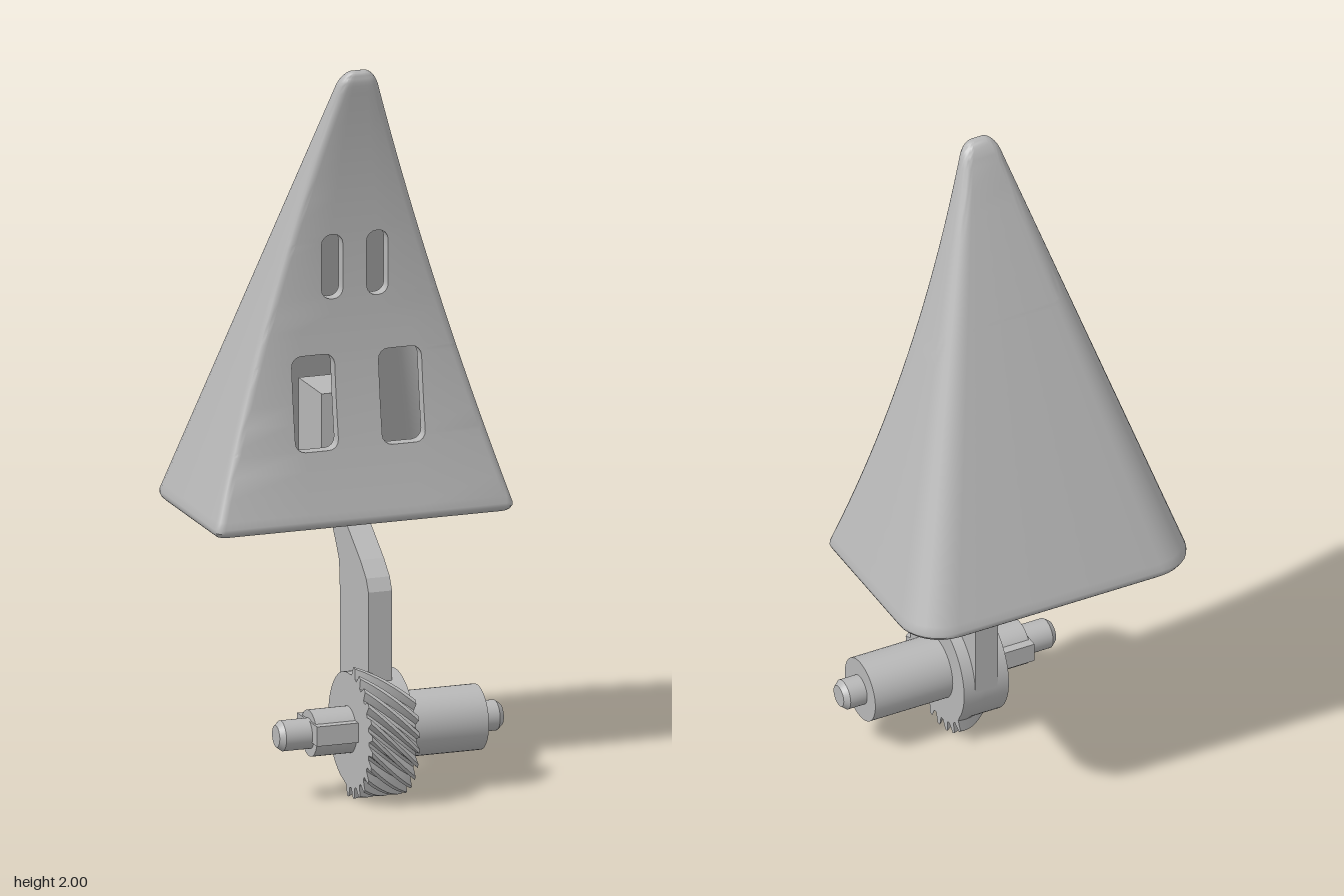
import * as THREE from 'three';
import { toCreasedNormals } from 'three/addons/utils/BufferGeometryUtils.js';

const grey = new THREE.MeshStandardMaterial({ color: 0xb8b8b8 });
grey.name = 'plain grey';

const CENTRE = -0.008;                 // sideways centre of the tower and arm
const AXLE_Y = 0.19, AXLE_Z = 0.28;    // axle position
const WALL = 0.035;
const WINDOWS = [
  { y0: 0.95, y1: 1.21, mid: 0.125, half: 0.062, r: 0.028 },
  { y0: 1.36, y1: 1.54, mid: 0.065, half: 0.031, r: 0.028 },
];

function add(group, name, geometry) {
  const mesh = new THREE.Mesh(geometry, grey);
  mesh.name = name;
  group.add(mesh);
  return mesh;
}

// Outline of the tower at height y, shrunk by inset
function section(y, inset) {
  const t = Math.max(0, (y - 0.76) / 1.24);
  let w = 0.43 - 0.385 * t - inset;
  let front = 0.235 - 0.315 * t + 0.275 * t * t - inset;
  let back = -0.315 + 0.465 * t + inset;
  if (y < 0.765) {                                  // rounded lower rim
    const s = (0.765 - y) / 0.025, e = 0.02 * (1 - Math.sqrt(Math.max(0, 1 - s * s)));
    w -= e; front -= e; back += e;
  }
  if (y > 1.96) {                                   // rounded tip
    const s = (y - 1.96) / 0.04, k = 1 - Math.sqrt(Math.max(0, 1 - s * s));
    const d = (front - back) * 0.4 * k;
    w *= 1 - 0.6 * k; front -= d; back += d;
  }
  const limit = 0.48 * Math.min(front - back, w * 2);
  const rf = Math.min(limit, Math.max(0.005, 0.024 - inset * 0.5));
  const rb = Math.min(limit, Math.max(0.005, 0.02 + 0.1 * (1 - t) - inset));

  // Break points of the front face line up with the window edges
  const win = WINDOWS[y < 1.285 ? 0 : 1];
  const yc = THREE.MathUtils.clamp(y, win.y0, win.y1);
  const d = Math.max(0, win.r - Math.min(yc - win.y0, win.y1 - yc));
  const half = win.half - win.r + Math.sqrt(Math.max(0, win.r * win.r - d * d));
  const k = y > 1.54 ? (0.43 - 0.385 * t) / 0.188 * Math.min(1, w / (0.43 - 0.385 * t)) : 1;
  const inner = (win.mid - half) * k, outer = (win.mid + half) * k;
  const pts = [-(w - rf), -outer, -inner, inner, outer, w - rf].map((x) => [x, front]);

  const corner = (cx, cz, r, from, n, i0, i1) => {
    for (let i = i0; i <= i1; i++) {
      const a = from - (i / n) * Math.PI / 2;
      pts.push([cx + r * Math.cos(a), cz + r * Math.sin(a)]);
    }
  };
  corner(w - rf, front - rf, rf, Math.PI / 2, 4, 1, 4);
  corner(w - rb, back + rb, rb, 0, 8, 0, 8);
  corner(-w + rb, back + rb, rb, -Math.PI / 2, 8, 0, 8);
  corner(-w + rf, front - rf, rf, Math.PI, 4, 0, 3);
  return pts;
}

// Hollow tower with window openings through the front
function towerGeometry() {
  const rows = [0.74, 0.742, 0.748, 0.756, 0.765, 0.785, 0.84, 0.9];
  const windowRows = ({ y0, y1, r }) => {
    const ends = [0, 1, 2, 3, 4].map((k) => r * (1 - Math.cos(k * Math.PI / 8)));
    ends.forEach((e) => rows.push(y0 + e));
    [0.3, 0.5, 0.7].forEach((f) => rows.push(y0 + (y1 - y0) * f));
    ends.reverse().forEach((e) => rows.push(y1 - e));
  };
  windowRows(WINDOWS[0]);
  rows.push(1.25, 1.28, 1.32);
  windowRows(WINDOWS[1]);
  for (let y = 1.58; y < 1.95; y += 0.06) rows.push(y);
  rows.push(1.96);
  for (let k = 1; k <= 6; k++) rows.push(1.96 + 0.04 * Math.sin(k * Math.PI / 12));

  const pos = [], index = [];
  const quad = (a, b, c, d) => index.push(a, b, c, a, c, d);
  const putRing = (y, inset) => {
    const start = pos.length / 3;
    section(y, inset).forEach(([x, z]) => pos.push(x + CENTRE, y, z));
    return start;
  };
  const N = section(1, 0).length;
  const outer = rows.map((y) => putRing(y, 0));
  const inner = rows.map((y) => (y > 0.77 && y < 1.73 ? putRing(y, WALL) : -1));
  const windowAt = (j) => WINDOWS.find((w) => rows[j] > w.y0 - 1e-6 && rows[j + 1] < w.y1 + 1e-6);

  for (let j = 0; j < rows.length - 1; j++) {
    const win = windowAt(j), o = outer[j], p = outer[j + 1], q = inner[j], s = inner[j + 1];
    for (let i = 0; i < N; i++) {
      const n = (i + 1) % N;
      if (win && (i === 1 || i === 3)) {            // window reveals
        quad(o + i, q + i, s + i, p + i);
        quad(o + n, p + n, s + n, q + n);
        if (rows[j] < win.y0 + 1e-6) quad(o + i, o + n, q + n, q + i);
        if (rows[j + 1] > win.y1 - 1e-6) quad(p + i, s + i, s + n, p + n);
        continue;
      }
      quad(o + i, o + n, p + n, p + i);
      if (q >= 0 && s >= 0) quad(q + i, s + i, s + n, q + n);
    }
  }
  // Flat ends of the outer skin and of the cavity
  const cap = (start, up) => {
    for (let i = 1; i < N - 1; i++) {
      if (up) index.push(start, start + i, start + i + 1);
      else index.push(start, start + i + 1, start + i);
    }
  };
  const used = inner.filter((s) => s >= 0);
  cap(outer[0], false);
  cap(outer[outer.length - 1], true);
  cap(used[0], true);
  cap(used[used.length - 1], false);

  const g = new THREE.BufferGeometry();
  g.setAttribute('position', new THREE.Float32BufferAttribute(pos, 3));
  g.setIndex(index);
  return toCreasedNormals(g, 0.6);
}

// Side profile given as [z, y], extruded from x0 to x1
function sideExtrude(profile, x0, x1, steps = 1) {
  const shape = new THREE.Shape(profile.map(([z, y]) => new THREE.Vector2(-z, y)));
  const g = new THREE.ExtrudeGeometry(shape, { depth: x1 - x0, steps, bevelEnabled: false });
  return g.rotateY(Math.PI / 2).translate(x0, 0, 0);
}

// Round hub with helical teeth on its front and underside
function gearGeometry(x0, x1) {
  const profile = [], rad = Math.PI / 180;
  const put = (deg, r) => profile.push([AXLE_Z + r * Math.cos(deg * rad), AXLE_Y + r * Math.sin(deg * rad)]);
  const teeth = 13, start = -118, pitch = 14;
  for (let i = 0; i < teeth; i++) {
    [[0, 0.16], [0.22, 0.188], [0.5, 0.188], [0.72, 0.16]].forEach(([f, r]) => put(start + (i + f) * pitch, r));
  }
  const end = start + teeth * pitch;
  for (let i = 0; i < 28; i++) put(end + (i / 28) * (360 - teeth * pitch), 0.157);
  const g = sideExtrude(profile, x0, x1, 8);
  const p = g.attributes.position;
  for (let i = 0; i < p.count; i++) {
    const a = -0.75 * ((p.getX(i) - x0) / (x1 - x0) - 0.5);
    const y = p.getY(i) - AXLE_Y, z = p.getZ(i) - AXLE_Z;
    p.setY(i, AXLE_Y + y * Math.cos(a) + z * Math.sin(a));
    p.setZ(i, AXLE_Z + z * Math.cos(a) - y * Math.sin(a));
  }
  return toCreasedNormals(g, 0.5);
}

// Axle piece between x0 and x1, with end radii r0 and r1
function axlePiece(x0, x1, r0, r1 = r0) {
  return new THREE.CylinderGeometry(r1, r0, x1 - x0, 40)
    .rotateZ(-Math.PI / 2).translate((x0 + x1) / 2, AXLE_Y, AXLE_Z);
}

export function createModel() {
  const model = new THREE.Group();
  model.name = 'towerOnGearArm';

  add(model, 'tower', towerGeometry());
  add(model, 'innerPost', new THREE.BoxGeometry(0.15, 0.32, 0.18).translate(CENTRE, 0.92, 0.0));

  // Cranked arm from the hub to the tower floor
  const arm = [[0.123, 0.19], [0.343, 0.19], [0.343, 0.585], [0.325, 0.62], [0.28, 0.66],
    [0.15, 0.75], [0.03, 0.75], [0.09, 0.66], [0.112, 0.625], [0.12, 0.58]];
  add(model, 'arm', sideExtrude(arm, CENTRE - 0.034, CENTRE + 0.034));

  add(model, 'helicalGear', gearGeometry(-0.076, 0.06));

  // Axle: thick left side, thin keyed right side, chamfered pins
  add(model, 'leftAxle', axlePiece(0.05, 0.295, 0.09));
  add(model, 'leftPin', axlePiece(0.29, 0.345, 0.042));
  add(model, 'leftPinTip', axlePiece(0.345, 0.36, 0.042, 0.03));
  add(model, 'rightAxle', axlePiece(-0.19, -0.07, 0.064));
  add(model, 'axleKey', new THREE.BoxGeometry(0.13, 0.055, 0.155).translate(-0.13, AXLE_Y + 0.01, AXLE_Z));
  add(model, 'rightPin', axlePiece(-0.27, -0.18, 0.042));
  add(model, 'rightPinTip', axlePiece(-0.285, -0.27, 0.03, 0.042));

  model.rotation.y = THREE.MathUtils.degToRad(42.6);
  const root = new THREE.Group();
  root.name = 'model';
  root.add(model);
  return root;
}
